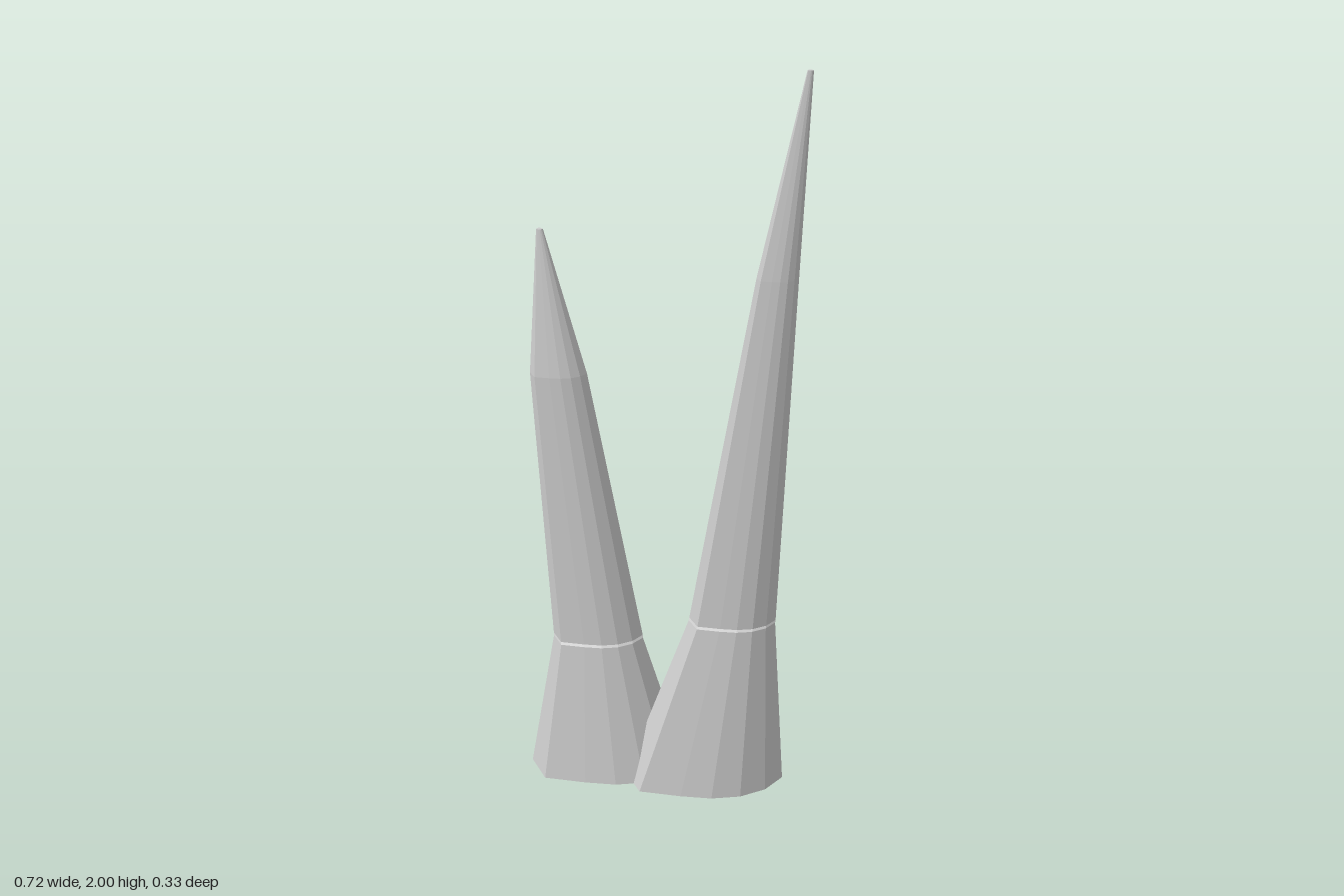
import * as THREE from 'three';

// Shared cross-section (x, z) about its own centre, counter-clockwise from above
const OUTLINE = [
  [-0.155, 0.165], [-0.04, 0.16], [0.045, 0.15], [0.12, 0.122], [0.18, 0.073],
  [0.215, 0.005], [0.165, -0.05], [0.092, -0.09], [0.05, -0.155], [-0.045, -0.167],
  [-0.13, -0.133], [-0.185, -0.067], [-0.195, -0.02], [-0.19, 0.045], [-0.215, 0.087],
];

// Loft the outline through rings of [y, centre x, centre z, scale] and close both ends
function makeSpike(name, rings, material) {
  const n = OUTLINE.length;
  const positions = [];
  const index = [];
  for (const [y, cx, cz, s] of rings) {
    for (const [x, z] of OUTLINE) positions.push(cx + x * s, y, cz + z * s);
  }
  for (let r = 0; r < rings.length - 1; r++) {
    for (let i = 0; i < n; i++) {
      const j = (i + 1) % n;
      const a = r * n + i, b = r * n + j;
      index.push(a, b, b + n, a, b + n, a + n);
    }
  }
  const contour = OUTLINE.map(([x, z]) => new THREE.Vector2(x, -z));
  const top = (rings.length - 1) * n;
  for (const [a, b, c] of THREE.ShapeUtils.triangulateShape(contour, [])) {
    index.push(a, c, b, top + a, top + b, top + c);
  }
  const geometry = new THREE.BufferGeometry();
  geometry.setAttribute('position', new THREE.Float32BufferAttribute(positions, 3));
  geometry.setIndex(index);
  geometry.computeVertexNormals();
  const mesh = new THREE.Mesh(geometry, material);
  mesh.name = name;
  return mesh;
}

export function createModel() {
  const group = new THREE.Group();
  group.name = 'twinSpikes';
  const material = new THREE.MeshStandardMaterial({ color: 0xcccccc, flatShading: true });

  // Tall spike leaning to the left, with a small ledge above its flared foot
  group.add(makeSpike('tallSpike', [
    [0, 0.125, 0, 1],
    [0.5, 0.195, 0.008, 0.53],
    [0.505, 0.195, 0.002, 0.53],
    [1.48, 0.29, -0.005, 0.24],
    [2, 0.351, -0.02, 0.035],
  ], material));

  // Short spike leaning to the right
  group.add(makeSpike('shortSpike', [
    [0, -0.147, 0, 1],
    [0.4, -0.178, 0.008, 0.56],
    [0.405, -0.18, 0.002, 0.56],
    [1.17, -0.28, -0.003, 0.34],
    [1.55, -0.33, -0.02, 0.04],
  ], material));

  return group;
}
